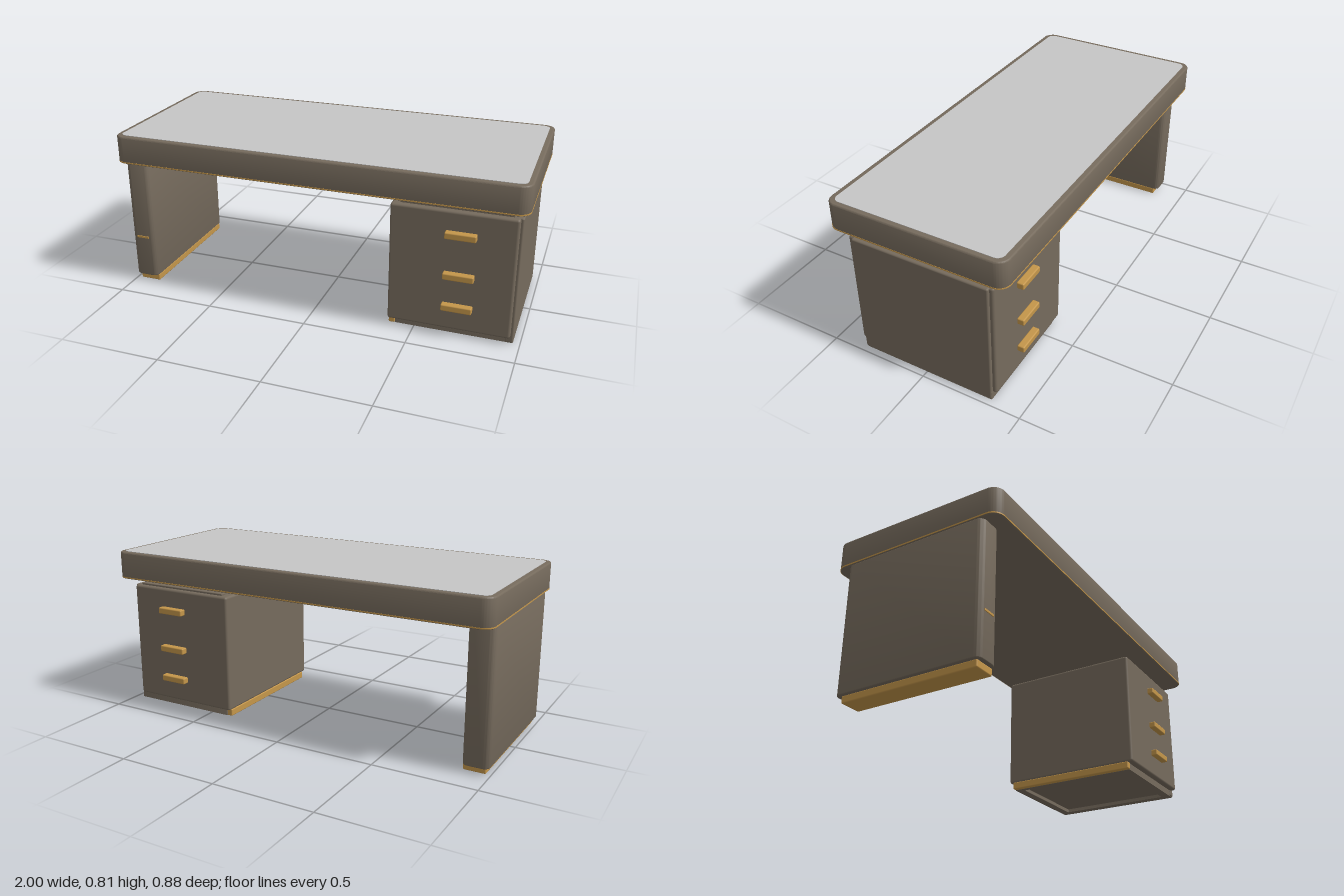
import * as THREE from 'three';
import { toCreasedNormals } from 'three/addons/utils/BufferGeometryUtils.js';
import { RoundedBoxGeometry } from 'three/addons/geometries/RoundedBoxGeometry.js';

function material(name, color) {
  const m = new THREE.MeshStandardMaterial({ color });
  m.name = name;
  return m;
}

// Rounded rectangle outline in plan
function roundedRect(Type, x0, x1, z0, z1, r) {
  const s = new Type();
  s.moveTo(x0 + r, z0);
  s.lineTo(x1 - r, z0);
  s.absarc(x1 - r, z0 + r, r, -Math.PI / 2, 0);
  s.lineTo(x1, z1 - r);
  s.absarc(x1 - r, z1 - r, r, 0, Math.PI / 2);
  s.lineTo(x0 + r, z1);
  s.absarc(x0 + r, z1 - r, r, Math.PI / 2, Math.PI);
  s.lineTo(x0, z0 + r);
  s.absarc(x0 + r, z0 + r, r, Math.PI, Math.PI * 1.5);
  return s;
}

// Vertical slab between y0 and y1 from a plan outline, with softened edges
function slab(shape, y0, y1, bevel = 0) {
  const g = new THREE.ExtrudeGeometry(shape, {
    depth: y1 - y0 - 2 * bevel, curveSegments: 8,
    bevelEnabled: bevel > 0, bevelSize: bevel, bevelOffset: -bevel,
    bevelThickness: bevel, bevelSegments: 3,
  });
  g.rotateX(-Math.PI / 2);
  g.translate(0, y0 + bevel, 0);
  return toCreasedNormals(g, 0.6);
}

export function createModel() {
  const model = new THREE.Group();
  model.name = 'desk';
  const brown = material('taupe lacquer', 0x766b5d);
  const gold = material('brushed gold', 0xc4964a);
  const grey = material('grey writing surface', 0xc6c6c6);

  function add(parent, name, geometry, mat) {
    const mesh = new THREE.Mesh(geometry, mat);
    mesh.name = name;
    parent.add(mesh);
    return mesh;
  }
  // Softened box given by its limits
  function box(parent, name, [x0, x1], [y0, y1], [z0, z1], r, mat) {
    const g = new RoundedBoxGeometry(x1 - x0, y1 - y0, z1 - z0, 2, r);
    g.translate((x0 + x1) / 2, (y0 + y1) / 2, (z0 + z1) / 2);
    return add(parent, name, g, mat);
  }
  const plan = (...a) => roundedRect(THREE.Shape, ...a);

  // Desktop with inlay and thin trim around the lower edge
  const top = new THREE.Group();
  top.name = 'desktop';
  model.add(top);
  add(top, 'topSlab', slab(plan(-0.999, 0.999, -0.439, 0.439, 0.055), 0.673, 0.81, 0.007), brown);
  add(top, 'writingSurface', slab(plan(-0.975, 0.975, -0.413, 0.413, 0.035), 0.805, 0.812), grey);
  const trim = plan(-1, 1, -0.44, 0.44, 0.056);
  trim.holes.push(roundedRect(THREE.Path, -0.98, 0.98, -0.42, 0.42, 0.036));
  add(top, 'edgeTrim', slab(trim, 0.677, 0.683), gold);

  // Panel leg with gold foot and thin inlay on its narrow ends
  const leg = new THREE.Group();
  leg.name = 'panelLeg';
  model.add(leg);
  add(leg, 'legPanel', slab(plan(-0.995, -0.87, -0.365, 0.367, 0.03), 0.033, 0.675, 0.004), brown);
  box(leg, 'legFoot', [-0.977, -0.87], [0, 0.036], [-0.342, 0.345], 0.006, gold);
  for (const z of [-0.3645, 0.3665]) {
    box(leg, 'legInlay', [-0.965, -0.9], [0.245, 0.256], [z - 0.002, z + 0.002], 0.001, gold);
  }

  // Drawer cabinet
  const cabinet = new THREE.Group();
  cabinet.name = 'drawerCabinet';
  model.add(cabinet);
  box(cabinet, 'cabinetBody', [0.375, 0.955], [0.034, 0.627], [-0.362, 0.37], 0.012, brown);
  box(cabinet, 'outerSidePanel', [0.93, 0.969], [0.002, 0.627], [-0.342, 0.345], 0.008, brown);
  box(cabinet, 'cabinetLid', [0.415, 0.927], [0.62, 0.637], [-0.34, 0.343], 0.004, brown);
  box(cabinet, 'spacerPlate', [0.458, 0.885], [0.635, 0.65], [-0.255, 0.272], 0.003, gold);
  for (const z of [-0.212, 0.212]) {
    box(cabinet, 'topMount', [0.545, 0.787], [0.661, 0.676], [z - 0.007, z + 0.007], 0.003, gold);
  }

  // Recessed plinth with a gold strip on the knee-hole side
  const plinth = plan(0.404, 0.967, -0.34, 0.343, 0.006);
  plinth.holes.push(roundedRect(THREE.Path, 0.43, 0.925, -0.295, 0.298, 0.006));
  add(cabinet, 'plinthFrame', slab(plinth, 0, 0.04), brown);
  box(cabinet, 'plinthPanel', [0.42, 0.935], [0.018, 0.04], [-0.305, 0.308], 0.002, brown);
  box(cabinet, 'plinthStrip', [0.376, 0.406], [0, 0.036], [-0.341, 0.344], 0.005, gold);

  // Three handles on both the front and the back
  for (const [side, z] of [['front', 0.384], ['back', -0.38]]) {
    for (const y of [0.519, 0.317, 0.157]) {
      box(cabinet, side + 'Handle', [0.634, 0.777], [y - 0.016, y + 0.016], [z - 0.018, z + 0.018], 0.006, gold);
    }
  }
  return model;
}
